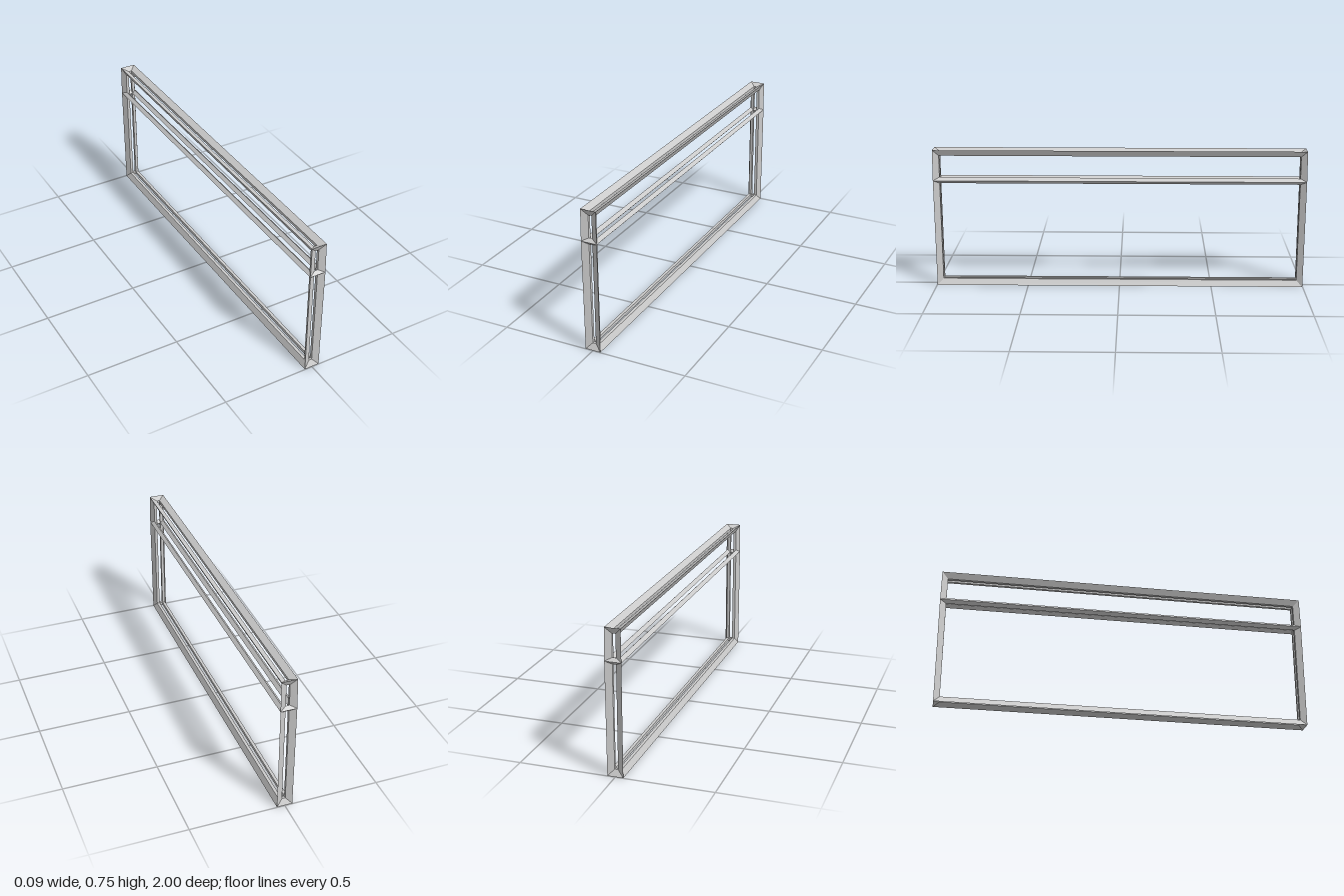
import * as THREE from 'three';

// Box lattice: outer ridge points, inner points, and mid-depth opening corners.
const BAR = 0.0165; // half thickness of a bar
const LEVELS = [
  { outer: 0, inner: 0.033, x: 0.041, z: 0.998 },
  { outer: 0.588, inner: 0.588, x: 0.0425, z: 1 },
  { outer: 0.755, inner: 0.722, x: 0.041, z: 0.998 },
];

const outerPoint = ([k, sx, sz]) =>
  new THREE.Vector3(sx * LEVELS[k].x, LEVELS[k].outer, sz * LEVELS[k].z);
const innerPoint = ([k, sx, sz]) =>
  new THREE.Vector3(sx * 0.0095, LEVELS[k].inner, sz * 0.966);
const midPoint = (c) => outerPoint(c).add(innerPoint(c)).multiplyScalar(0.5);

// One sloped frame around an opening; corners run counter-clockwise from outside.
function openFrame(name, corners, material) {
  const mids = corners.map(midPoint);
  const n = corners.length;
  const opening = mids.map((m, i) => {
    const next = mids[(i + 1) % n].clone().sub(m).normalize();
    const prev = mids[(i + n - 1) % n].clone().sub(m).normalize();
    return m.clone().addScaledVector(next, BAR).addScaledVector(prev, BAR);
  });
  const rings = [corners.map(outerPoint), opening, corners.map(innerPoint)];
  const positions = [];
  for (let r = 0; r < 2; r++) {
    for (let i = 0; i < n; i++) {
      const j = (i + 1) % n;
      const [a, b, c, d] = [rings[r][i], rings[r][j], rings[r + 1][j], rings[r + 1][i]];
      for (const p of [a, b, c, a, c, d]) positions.push(p.x, p.y, p.z);
    }
  }
  const geometry = new THREE.BufferGeometry();
  geometry.setAttribute('position', new THREE.Float32BufferAttribute(positions, 3));
  geometry.computeVertexNormals();
  const mesh = new THREE.Mesh(geometry, material);
  mesh.name = name;
  return mesh;
}

export function createModel() {
  const group = new THREE.Group();
  group.name = 'boxFrame';
  const material = new THREE.MeshStandardMaterial({
    color: 0xcccccc, flatShading: true, side: THREE.DoubleSide,
  });

  // Vertical sides, each split by the middle rail
  const sides = [
    ['front', [-1, 1], [1, 1]],
    ['left', [1, 1], [1, -1]],
    ['back', [1, -1], [-1, -1]],
    ['right', [-1, -1], [-1, 1]],
  ];
  for (const [side, a, b] of sides) {
    ['LowerFrame', 'UpperFrame'].forEach((part, k) => {
      const corners = [[k, ...a], [k, ...b], [k + 1, ...b], [k + 1, ...a]];
      group.add(openFrame(side + part, corners, material));
    });
  }

  // Top and bottom
  const ring = [[-1, 1], [1, 1], [1, -1], [-1, -1]];
  group.add(openFrame('topFrame', ring.map((c) => [2, ...c]), material));
  group.add(openFrame('bottomFrame', ring.map((c) => [0, ...c]).reverse(), material));
  return group;
}
